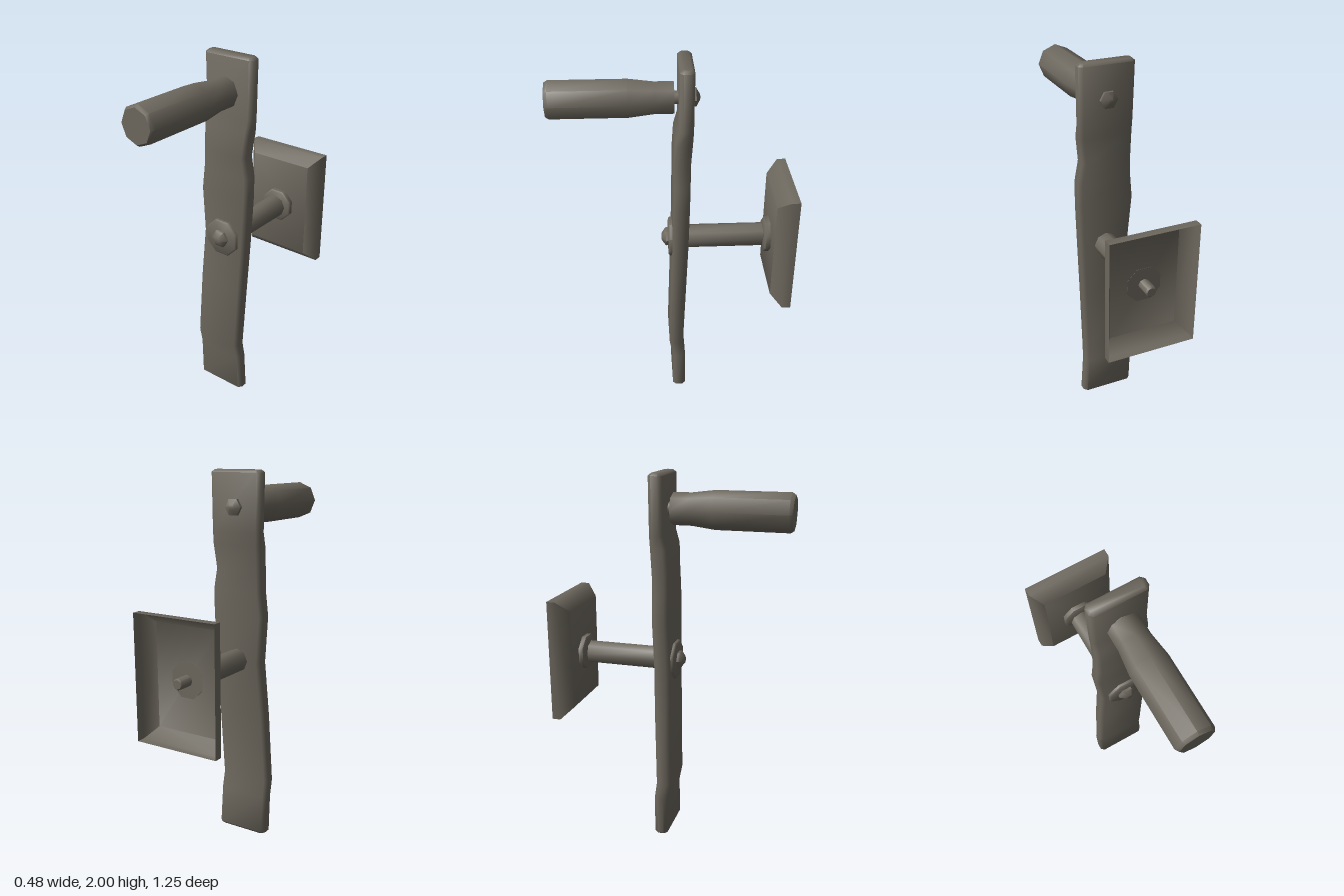
import * as THREE from 'three';
import { toCreasedNormals } from 'three/addons/utils/BufferGeometryUtils.js';

const CREASE = 0.9;

// Skin a list of equal-length rings, with optional flat end caps
function loft(rings, capStart, capEnd) {
  const n = rings[0].length;
  const index = [];
  for (let i = 0; i < rings.length - 1; i++) {
    for (let j = 0; j < n; j++) {
      const a = i * n + j, b = i * n + (j + 1) % n;
      index.push(a, b, b + n, a, b + n, a + n);
    }
  }
  const last = (rings.length - 1) * n;
  for (let j = 1; j < n - 1; j++) {
    if (capStart) index.push(0, j + 1, j);
    if (capEnd) index.push(last, last + j, last + j + 1);
  }
  const g = new THREE.BufferGeometry();
  g.setAttribute('position', new THREE.Float32BufferAttribute(rings.flat(2), 3));
  g.setIndex(index);
  return toCreasedNormals(g, CREASE);
}

export function createModel() {
  const model = new THREE.Group();
  const metal = new THREE.MeshStandardMaterial({ color: 0x6d685e });
  metal.name = 'dull grey-brown metal';
  const metalSheet = metal.clone();
  metalSheet.name = 'dull grey-brown sheet';
  metalSheet.side = THREE.DoubleSide;

  const add = (name, geometry, material = metal) => {
    const mesh = new THREE.Mesh(geometry, material);
    mesh.name = name;
    model.add(mesh);
  };

  // Turned part lying along z; profile is [radius, z] from back to front
  const turned = (name, y, sides, spin, profile) => {
    const g = new THREE.LatheGeometry(profile.map(([r, z]) => new THREE.Vector2(r, z)), sides);
    g.rotateX(Math.PI / 2).rotateZ(spin).translate(0, y, 0);
    add(name, toCreasedNormals(g, CREASE));
  };

  // Bent lever arm: [y, left edge, right edge, back, front, inset]
  const stations = [
    [0, -0.165, 0.125, -0.06, 0.012, 0.014],
    [0.014, -0.17, 0.128, -0.06, 0.012, 0],
    [0.23, -0.177, 0.115, -0.06, 0.012, 0],
    [0.32, -0.178, 0.11, -0.047, 0.03, 0],
    [0.7, -0.16, 0.126, -0.06, 0.021, 0],
    [1.0, -0.137, 0.14, -0.07, 0.014, 0],
    [1.25, -0.156, 0.15, -0.075, 0.01, 0],
    [1.38, -0.143, 0.15, -0.077, 0.008, 0],
    [1.49, -0.141, 0.13, -0.078, 0.008, 0],
    [1.62, -0.141, 0.145, -0.086, 0, 0],
    [1.69, -0.143, 0.146, -0.09, -0.02, 0],
    [1.986, -0.149, 0.149, -0.092, -0.02, 0],
    [2, -0.147, 0.147, -0.092, -0.02, 0.014],
  ];
  const bevel = 0.018;
  add('leverArm', loft(stations.map(([y, l, r, b, f, inset]) => {
    const x0 = l + inset, x1 = r - inset, z0 = b + inset, z1 = f - inset;
    const c = inset ? bevel * 0.6 : bevel;
    return [
      [x1 - c, y, z1], [x1, y, z1 - c], [x1, y, z0 + c], [x1 - c, y, z0],
      [x0 + c, y, z0], [x0, y, z0 + c], [x0, y, z1 - c], [x0 + c, y, z1],
    ];
  }), true, true));

  // Hollow mounting plate, open at the back
  const plate = [[0.238, 0.332, -0.624], [0.238, 0.332, -0.578], [0.184, 0.274, -0.516]];
  add('mountingPlate', loft(plate.map(([w, h, z]) =>
    [[w, 1.004 - h, z], [w, 1.004 + h, z], [-w, 1.004 + h, z], [-w, 1.004 - h, z]]),
  false, true), metalSheet);

  // Pivot: spindle, collar, sleeve, washer and nut
  const pivotY = 1.004;
  turned('pivotSpindle', pivotY, 8, 0,
    [[0, -0.6], [0.024, -0.6], [0.03, -0.592], [0.03, -0.04], [0, -0.04]]);
  turned('plateCollar', pivotY, 8, Math.PI / 8,
    [[0, -0.517], [0.098, -0.517], [0.098, -0.492], [0.088, -0.485], [0, -0.485]]);
  turned('pivotSleeve', pivotY, 8, 0,
    [[0, -0.477], [0.064, -0.477], [0.064, -0.05], [0, -0.05]]);
  turned('pivotWasher', pivotY, 8, Math.PI / 8,
    [[0, 0], [0.108, 0], [0.108, 0.025], [0.1, 0.032], [0, 0.032]]);
  turned('pivotNut', pivotY, 6, Math.PI / 6,
    [[0, 0.02], [0.05, 0.02], [0.05, 0.046], [0.02, 0.068], [0, 0.068]]);

  // Grip with its bolt and rear nut
  const gripY = 1.814;
  turned('grip', gripY, 8, 0, [[0, 0.002], [0.084, 0.002], [0.084, 0.1],
    [0.1, 0.225], [0.1, 0.606], [0.088, 0.624], [0, 0.624]]);
  turned('gripBolt', gripY, 8, 0, [[0, -0.06], [0.035, -0.06], [0.035, 0.01], [0, 0.01]]);
  turned('gripNut', gripY, 6, Math.PI / 6,
    [[0, -0.128], [0.014, -0.126], [0.047, -0.107], [0.047, -0.08], [0, -0.08]]);

  return model;
}
